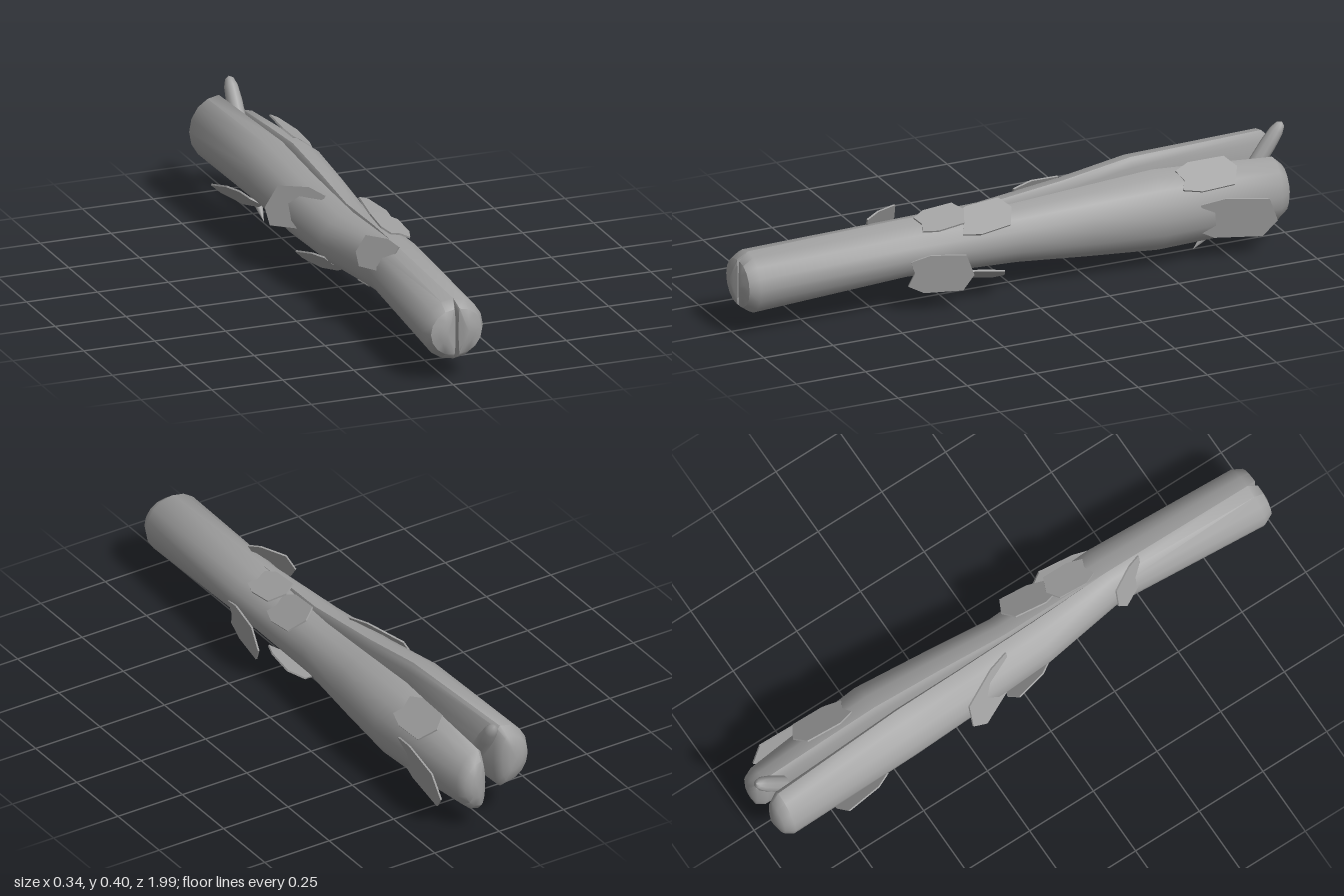
import * as THREE from 'three';
import { toCreasedNormals } from 'three/addons/utils/BufferGeometryUtils.js';

const V = (a) => new THREE.Vector3(...a);

// Half-round log lofted along z. Section: [z, seam x, outer x, centre y, half height, inner bulge]
function logGeometry(sections, side) {
  const N = 16;
  const first = sections[0], last = sections[sections.length - 1];
  const rows = [
    [first, 1.0, 0], [first, 0.993, 0.4], [first, 0.985, 0.75],
    ...sections.map((s) => [s, s[0], 1]),
    [last, -0.965, 0.75], [last, -0.975, 0.4], [last, -0.98, 0],
  ];
  const pos = [], index = [];
  for (const [s, z, k] of rows) {
    const [, xIn, xOut, yc, ry, bulge] = s;
    const w = Math.abs(xOut - xIn);
    const mid = xIn + side * w * 0.35;
    for (let j = 0; j < N; j++) {
      const a = (j / N) * Math.PI * 2, c = Math.cos(a);
      const x = xIn + side * w * (c > 0 ? c : c * bulge);
      pos.push(mid + (x - mid) * k, yc + ry * Math.sin(a) * k, z);
    }
  }
  for (let i = 0; i < rows.length - 1; i++) {
    for (let j = 0; j < N; j++) {
      const a = i * N + j, b = i * N + (j + 1) % N, c = a + N, d = b + N;
      if (side > 0) index.push(a, c, b, b, c, d);
      else index.push(a, b, c, b, d, c);
    }
  }
  const g = new THREE.BufferGeometry();
  g.setAttribute('position', new THREE.Float32BufferAttribute(pos, 3));
  g.setIndex(index);
  return toCreasedNormals(g, 0.75);
}

// Thin angular bark flake running from root to tip, with its width along "across"
function flakeGeometry(root, tip, across, width) {
  const outline = [[0, -0.3], [0.08, 0.05], [0, 0.35], [0.3, 0.5], [0.85, 0.45], [1, -0.1], [0.85, -0.5], [0.25, -0.5]];
  const u = V(tip).sub(V(root)), length = u.length();
  u.normalize();
  const n = u.clone().cross(V(across)).normalize();
  const v = n.clone().cross(u);
  const shape = new THREE.Shape(outline.map(([a, b]) => new THREE.Vector2(a * length, b * width)));
  const g = new THREE.ExtrudeGeometry(shape, { depth: 0.006, bevelEnabled: false });
  g.translate(0, 0, -0.003);
  g.applyMatrix4(new THREE.Matrix4().makeBasis(u, v, n).setPosition(V(root)));
  return g;
}

// Tapered spike lathed from [radius, height] points and aimed from base to tip
function spikeGeometry(base, tip, profile) {
  const g = new THREE.LatheGeometry(profile.map(([r, h]) => new THREE.Vector2(r, h)), 10);
  const dir = V(tip).sub(V(base));
  g.scale(1, dir.length(), 1);
  g.applyQuaternion(new THREE.Quaternion().setFromUnitVectors(new THREE.Vector3(0, 1, 0), dir.clone().normalize()));
  g.translate(...base);
  return g;
}

export function createModel() {
  const group = new THREE.Group();
  const bark = new THREE.MeshStandardMaterial({ color: 0xa0a0a0 });
  bark.name = 'grey bark';
  const add = (name, geometry) => {
    const mesh = new THREE.Mesh(geometry, bark);
    mesh.name = name;
    group.add(mesh);
  };

  // Two halves joined at the front, parting towards the back
  add('leftBranch', logGeometry([
    [0.95, 0.02, 0.125, 0.18, 0.105, 0.05],
    [0.4, 0.02, 0.145, 0.205, 0.096, 0.05],
    [0.25, 0.025, 0.138, 0.2, 0.098, 0.1],
    [0, 0.027, 0.125, 0.19, 0.1, 0.12],
    [-0.25, 0.035, 0.148, 0.19, 0.12, 0.15],
    [-0.5, 0.04, 0.168, 0.19, 0.138, 0.15],
    [-0.7, 0.04, 0.15, 0.185, 0.13, 0.18],
    [-0.935, 0.04, 0.125, 0.185, 0.112, 0.25],
  ], 1));
  add('rightBranch', logGeometry([
    [0.95, 0.02, -0.09, 0.18, 0.105, 0.05],
    [0.4, 0.02, -0.057, 0.205, 0.096, 0.05],
    [0.1, 0.01, -0.105, 0.2, 0.096, 0.1],
    [-0.2, -0.005, -0.125, 0.215, 0.11, 0.12],
    [-0.45, -0.018, -0.143, 0.243, 0.116, 0.15],
    [-0.935, -0.045, -0.15, 0.245, 0.115, 0.25],
  ], -1));

  // Horn on top and thorn underneath
  add('horn', spikeGeometry([0.008, 0.26, -0.885], [0.01, 0.402, -0.985],
    [[0.027, 0], [0.027, 0.5], [0.023, 0.8], [0.014, 0.95], [0, 1]]));
  add('thorn', spikeGeometry([0.004, 0.1, -0.77], [0.005, 0.003, -0.665],
    [[0.02, 0], [0.017, 0.35], [0.01, 0.7], [0, 1]]));

  // Bark flakes lifting towards the back: root, tip, width direction, width
  [
    [[0.135, 0.15, 0.42], [0.168, 0.14, 0.2], [0.15, 1, 0], 0.14],
    [[0.07, 0.295, 0.36], [0.075, 0.312, 0.19], [1, -0.35, 0], 0.11],
    [[0.085, 0.275, 0.22], [0.1, 0.3, 0.03], [0.8, -0.5, 0], 0.12],
    [[0.08, 0.1, 0.22], [0.09, 0.075, 0.05], [0.85, 0.5, 0], 0.12],
    [[0.1, 0.3, -0.57], [0.11, 0.305, -0.78], [0.8, -0.55, 0], 0.12],
    [[0.14, 0.17, -0.62], [0.163, 0.14, -0.9], [0.2, 1, 0], 0.15],
    [[-0.05, 0.27, -0.02], [-0.155, 0.23, -0.25], [0.45, 0.9, 0], 0.14],
    [[-0.005, 0.28, 0.52], [-0.085, 0.275, 0.37], [0.4, 0.9, 0], 0.11],
    [[-0.09, 0.14, -0.55], [-0.1, 0.085, -0.75], [0.8, -0.6, 0], 0.14],
    [[-0.06, 0.13, 0.1], [-0.09, 0.09, -0.07], [0.8, -0.6, 0], 0.12],
  ].forEach((f, i) => add('barkFlake' + (i + 1), flakeGeometry(...f)));

  return group;
}
